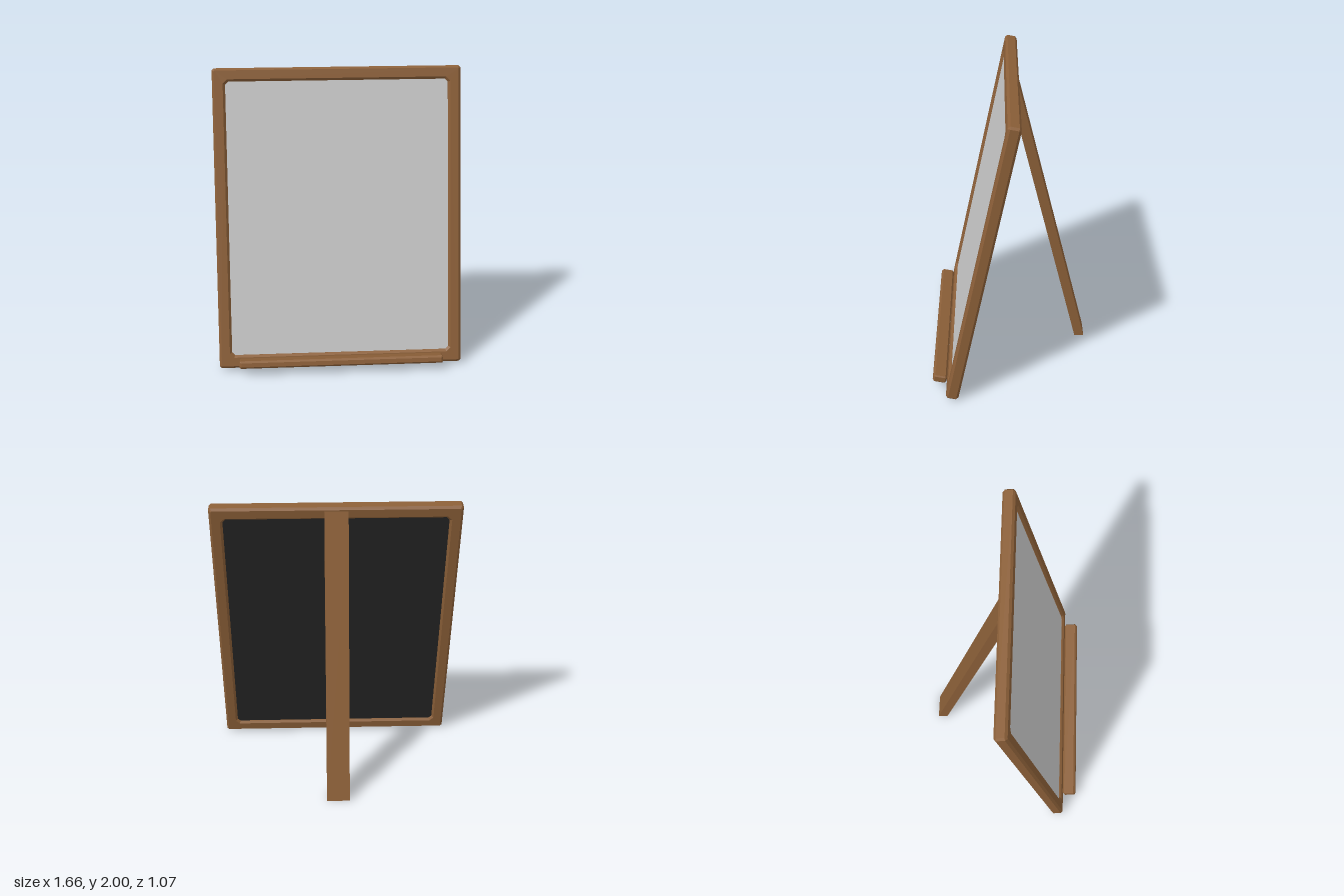
import * as THREE from 'three';

const BEVEL = 0.015;

// rectangle with clipped corners
function clippedRect(PathType, w, h, c) {
  const x = w / 2, y = h / 2;
  return new PathType([
    [-x + c, -y], [x - c, -y], [x, -y + c], [x, y - c],
    [x - c, y], [-x + c, y], [-x, y - c], [-x, -y + c],
  ].map(([a, b]) => new THREE.Vector2(a, b)));
}

// bevelled slab centred on its own origin
function slab(shape, depth, bevel) {
  const geometry = new THREE.ExtrudeGeometry(shape, {
    depth: depth - 2 * bevel, bevelThickness: bevel, bevelSize: bevel,
    bevelOffset: -bevel, bevelSegments: 1,
  });
  return geometry.translate(0, 0, bevel - depth / 2);
}

export function createModel() {
  const wood = new THREE.MeshStandardMaterial({ color: 0x8b5f38 });
  wood.name = 'wood';
  const paleGrey = new THREE.MeshStandardMaterial({ color: 0xc8c8c8 });
  paleGrey.name = 'pale grey';
  const black = new THREE.MeshStandardMaterial({ color: 0x242424 });
  black.name = 'black';

  const model = new THREE.Group();
  model.name = 'easelBoard';
  const add = (parent, name, geometry, material, x = 0, y = 0, z = 0) => {
    const mesh = new THREE.Mesh(geometry, material);
    mesh.name = name;
    mesh.position.set(x, y, z);
    parent.add(mesh);
    return mesh;
  };

  // leaning board
  const board = new THREE.Group();
  board.name = 'board';
  board.position.set(0, 1.003, 0.193);
  board.rotation.x = -0.21;
  model.add(board);

  // frame with a bevelled opening
  const outline = clippedRect(THREE.Shape, 1.656, 2.027, 0.014);
  outline.holes.push(clippedRect(THREE.Path, 1.484, 1.85, 0.02));
  add(board, 'frame', slab(outline, 0.085, BEVEL), wood);

  // writing surface and its backing
  add(board, 'writingSurface', new THREE.BoxGeometry(1.5, 1.87, 0.025), paleGrey, 0, 0, 0.0125);
  add(board, 'backing', new THREE.BoxGeometry(1.5, 1.87, 0.025), black, 0, 0, -0.0125);

  // tray along the lower front edge
  const tray = add(model, 'tray', slab(clippedRect(THREE.Shape, 1.38, 0.052, 0.008), 0.094, 0.012),
    wood, 0, 0.076, 0.488);
  tray.rotation.x = -0.21;

  // rear leg, cut flat at the floor and flush against the frame; profile is (-z, y)
  const legProfile = new THREE.Shape([
    [0.47, 0], [0.536, 0], [0.054, 1.965], [0.02, 1.82],
  ].map(([a, b]) => new THREE.Vector2(a, b)));
  const legGeometry = new THREE.ExtrudeGeometry(legProfile, { depth: 0.158, bevelEnabled: false });
  legGeometry.translate(0, 0, -0.079).rotateY(Math.PI / 2);
  add(model, 'rearLeg', legGeometry, wood);

  return model;
}
